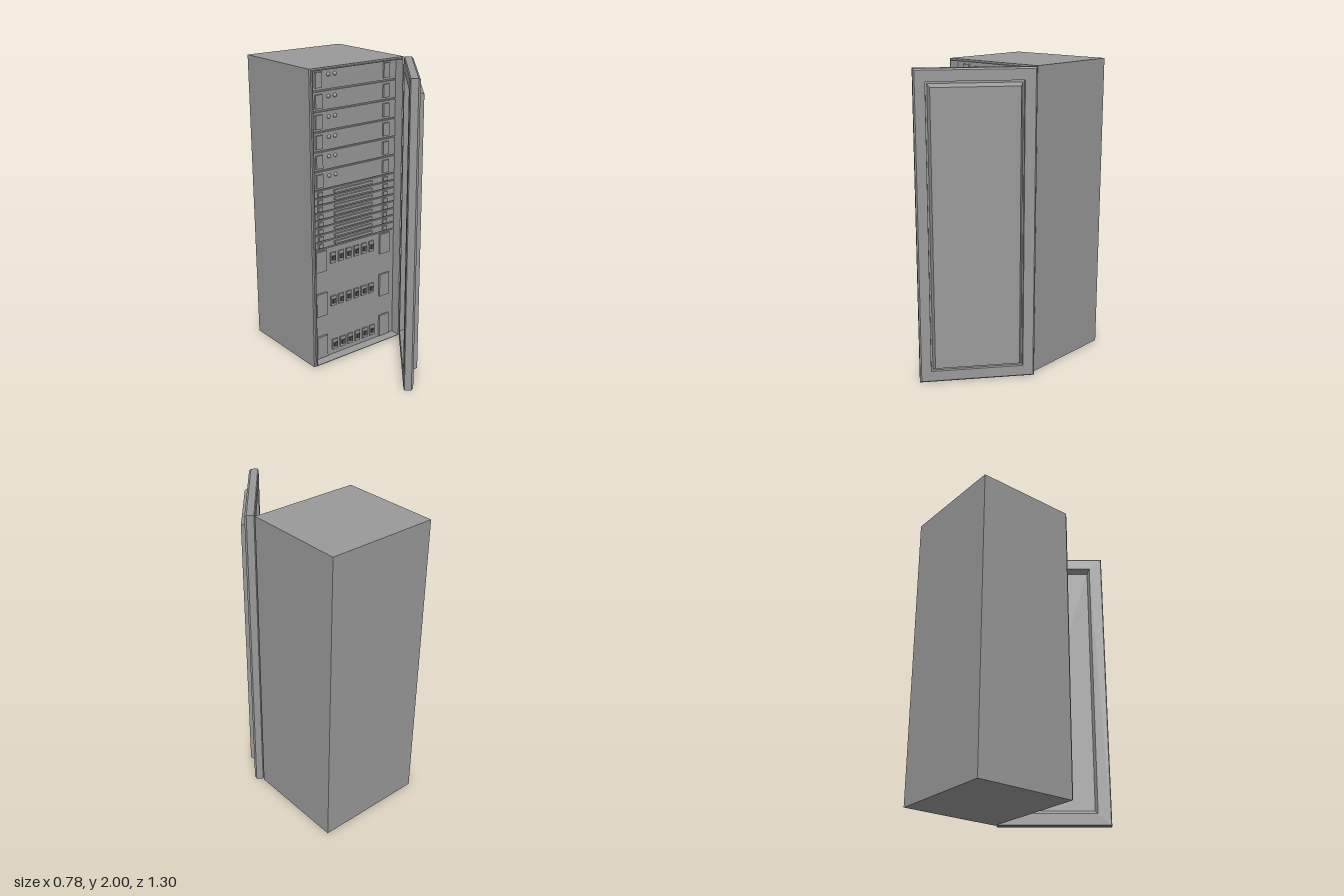
import * as THREE from 'three';

const grey = new THREE.MeshStandardMaterial({ color: 0x999999, flatShading: true });
const smooth = new THREE.MeshStandardMaterial({ color: 0x999999 });
const dark = new THREE.MeshStandardMaterial({ color: 0x555555, flatShading: true });
const FACE = -0.025; // z of the equipment fronts, set back inside the bezel
const CENTRE = -0.018; // x of the middle of the equipment
const LEFT = -0.374, RIGHT = 0.338;

function box(parent, name, x0, x1, y0, y1, z0, z1, material = grey) {
  const mesh = new THREE.Mesh(new THREE.BoxGeometry(x1 - x0, y1 - y0, z1 - z0), material);
  mesh.position.set((x0 + x1) / 2, (y0 + y1) / 2, (z0 + z1) / 2);
  mesh.name = name;
  parent.add(mesh);
}

// raised block on an equipment front, mirrored about the centre
function pair(parent, name, x0, x1, y0, y1) {
  box(parent, name, x0, x1, y0, y1, FACE - 0.005, FACE + 0.013);
  box(parent, name, 2 * CENTRE - x1, 2 * CENTRE - x0, y0, y1, FACE - 0.005, FACE + 0.013);
}

// closed solid through nested rectangles [x0, x1, y0, y1, z], capped at both ends
function rectLoft(name, rings) {
  const pos = [];
  const corners = ([x0, x1, y0, y1, z]) => [[x0, y0, z], [x1, y0, z], [x1, y1, z], [x0, y1, z]];
  const quad = (a, b, c, d) => pos.push(...a, ...b, ...c, ...a, ...c, ...d);
  for (let i = 0; i + 1 < rings.length; i++) {
    const p = corners(rings[i]), q = corners(rings[i + 1]);
    for (let k = 0; k < 4; k++) {
      const n = (k + 1) % 4;
      quad(p[k], p[n], q[n], q[k]);
    }
  }
  const first = corners(rings[0]), last = corners(rings[rings.length - 1]);
  quad(first[3], first[2], first[1], first[0]);
  quad(...last);
  const geo = new THREE.BufferGeometry();
  geo.setAttribute('position', new THREE.Float32BufferAttribute(pos, 3));
  geo.computeVertexNormals();
  const mesh = new THREE.Mesh(geo, grey);
  mesh.name = name;
  return mesh;
}

// tall unit with handle plates and a pair of round knobs
function driveUnit(y0, y1) {
  const g = new THREE.Group();
  g.name = 'driveUnit';
  const h = y1 - y0;
  box(g, 'drivePanel', LEFT, RIGHT, y0, y1, FACE - 0.02, FACE);
  pair(g, 'handlePlate', -0.315, -0.265, y0 + h * 0.13, y1 - h * 0.13);
  for (const x of [-0.21, -0.16]) {
    const knob = new THREE.Mesh(new THREE.SphereGeometry(0.013, 16, 10), smooth);
    knob.position.set(x, y0 + h * 0.7, FACE);
    knob.name = 'knob';
    g.add(knob);
  }
  return g;
}

// thin unit with latches and a long slot cover
function slimUnit(y0, y1) {
  const g = new THREE.Group();
  g.name = 'slimUnit';
  const m = (y0 + y1) / 2;
  box(g, 'slimPanel', LEFT, RIGHT, y0, y1, FACE - 0.02, FACE);
  pair(g, 'latch', -0.305, -0.27, m - 0.013, m + 0.013);
  box(g, 'slotCover', -0.175, 0.139, m - 0.009, m + 0.009, FACE - 0.005, FACE + 0.012);
  return g;
}

// one row of the power section: access plates and rocker switches
function switchRow(plate, sw, x) {
  const g = new THREE.Group();
  g.name = 'switchRow';
  pair(g, 'accessPlate', -0.33, -0.245, ...plate);
  const m = (sw[0] + sw[1]) / 2;
  for (let i = 0; i < 6; i++) {
    const c = x + i * 0.065;
    box(g, 'switchHousing', c - 0.021, c + 0.021, ...sw, FACE - 0.005, FACE + 0.011);
    box(g, 'rocker', c - 0.012, c + 0.012, m - 0.014, m + 0.014, FACE, FACE + 0.022, dark);
  }
  return g;
}

export function createModel() {
  const model = new THREE.Group();
  model.name = 'equipmentCabinet';

  // cabinet shell with a stepped bezel around the open bay
  model.add(rectLoft('cabinetBody', [
    [-0.392, 0.356, 0, 2, -0.653],
    [-0.392, 0.356, 0, 2, 0.029],
    [-0.379, 0.343, 0.01, 1.99, 0.029],
    [-0.379, 0.343, 0.01, 1.99, 0.045],
    [LEFT, RIGHT, 0.014, 1.986, 0.045],
    [LEFT, RIGHT, 0.014, 1.986, FACE - 0.015],
  ]));

  // stacked equipment
  const edges = [1.986, 1.847, 1.72, 1.59, 1.463, 1.336, 1.21];
  for (let i = 0; i < 6; i++) model.add(driveUnit(edges[i + 1] + 0.005, edges[i] - 0.005));
  const pitch = (1.21 - 0.807) / 8;
  for (let i = 0; i < 8; i++) {
    const y = 0.807 + i * pitch;
    model.add(slimUnit(y + 0.004, y + pitch - 0.004));
  }
  box(model, 'powerPanel', LEFT, RIGHT, 0.014, 0.803, FACE - 0.02, FACE);
  model.add(switchRow([0.65, 0.795], [0.69, 0.765], -0.19));
  model.add(switchRow([0.33, 0.495], [0.38, 0.45], -0.19));
  model.add(switchRow([0.02, 0.18], [0.05, 0.125], -0.18));

  // open door: recessed inside, chamfered rim, sunk groove and raised panel outside
  const door = rectLoft('door', [
    [-0.64, -0.105, 0.105, 1.895, 0.035],
    [-0.655, -0.09, 0.08, 1.92, 0],
    [-0.738, -0.006, 0.006, 1.994, 0],
    [-0.744, 0, 0, 2, 0.006],
    [-0.744, 0, 0, 2, 0.05],
    [-0.734, -0.01, 0.01, 1.99, 0.062],
    [-0.672, -0.076, 0.077, 1.923, 0.062],
    [-0.67, -0.078, 0.079, 1.921, 0.045],
    [-0.66, -0.086, 0.09, 1.91, 0.045],
    [-0.647, -0.104, 0.108, 1.892, 0.09],
  ]);
  door.position.set(0.35, 0, 0.038);
  door.rotation.y = 0.893;
  model.add(door);

  return model;
}
